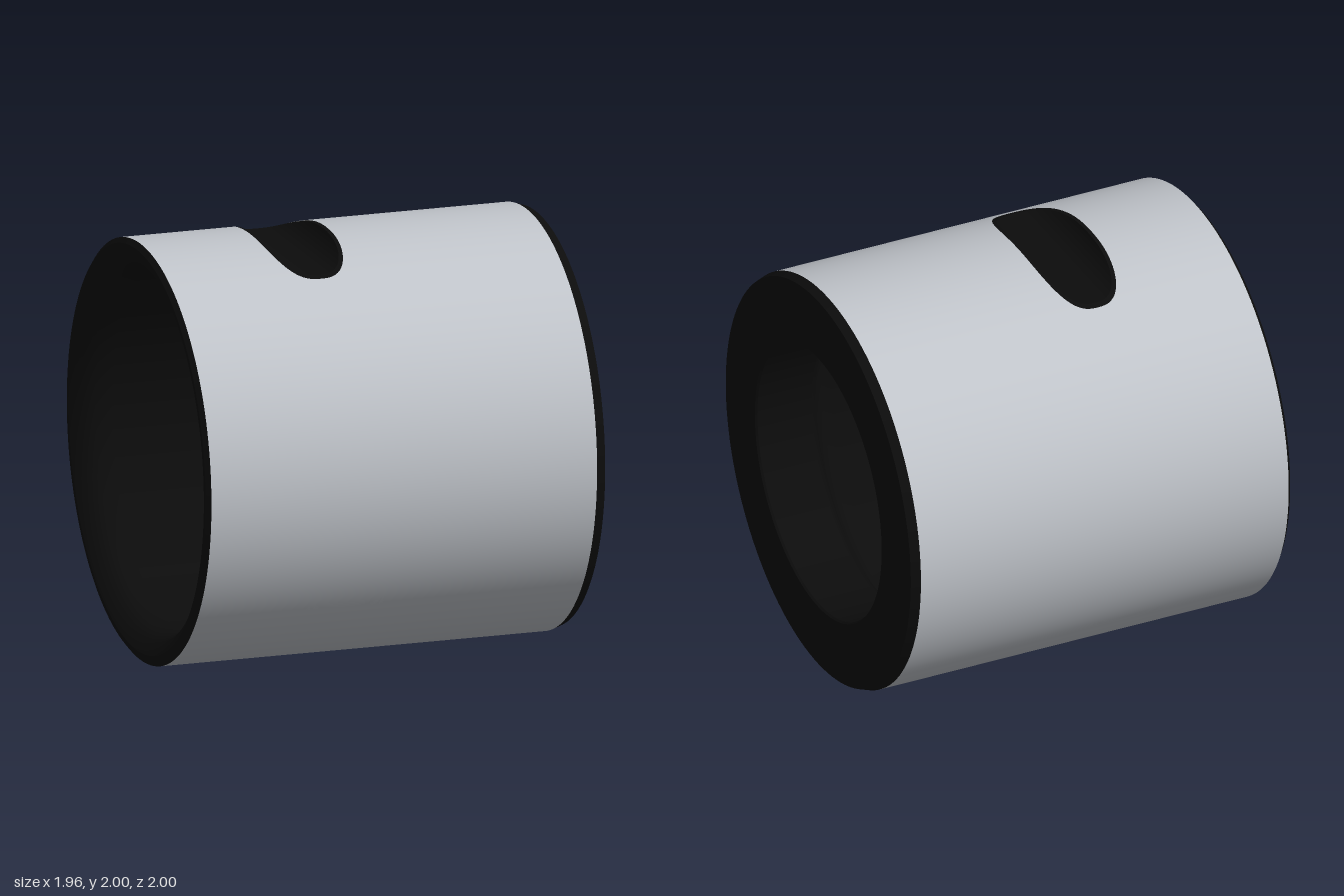
import * as THREE from 'three';

const SLOT_X = -0.235;
const AROUND = 128;

// The slot seen from above is a blunt oval: half its width along x, half its length along z.
const skinSlot = { width: 0.187, length: 0.465 };
const bodySlot = { width: 0.17, length: 0.437 };
const BLUNT = 2.7;

// Half the slot's length at distance dx from its middle.
const slotReach = ({ width, length }, dx) =>
  length * Math.max(0, 1 - (Math.abs(dx) / width) ** BLUNT) ** (1 / BLUNT);

// Positions across the slot, closer together near both ends.
const across = (half, n = 48) =>
  Array.from({ length: n + 1 }, (_, i) => -half * Math.cos((Math.PI * i) / n));

// Surface through a grid of points; point(i, j) returns [x, y, z].
function grid(nu, nv, point) {
  const positions = [], index = [];
  for (let i = 0; i <= nu; i++) {
    for (let j = 0; j <= nv; j++) {
      positions.push(...point(i, j));
      if (i === nu || j === nv) continue;
      const a = i * (nv + 1) + j, b = a + nv + 1;
      index.push(a, a + 1, b, b, a + 1, b + 1);
    }
  }
  const geo = new THREE.BufferGeometry();
  geo.setAttribute('position', new THREE.Float32BufferAttribute(positions, 3));
  geo.setIndex(index);
  geo.computeVertexNormals();
  return geo;
}

// Cylinder wall along x, opened by the slot at the top.
function slottedWall(r, x0, x1, slot) {
  const xs = [x0, ...across(slot.width).map((d) => SLOT_X + d), x1];
  const geo = grid(xs.length - 1, AROUND, (i, j) => {
    const start = Math.asin(slotReach(slot, xs[i] - SLOT_X) / r);
    const t = start + (2 * Math.PI - 2 * start) * (j / AROUND);
    return [xs[i], r * Math.cos(t), r * Math.sin(t)];
  });
  // Exact radial normals keep the wall smooth
  const p = geo.attributes.position;
  for (let k = 0; k < p.count; k++) {
    geo.attributes.normal.setXYZ(k, 0, p.getY(k) / r, p.getZ(k) / r);
  }
  return geo;
}

// Closed trough under the slot, straight along z.
function slotFloor(r, slot) {
  const ds = across(slot.width);
  return grid(ds.length - 1, 1, (i, j) => {
    const z = slotReach(slot, ds[i]);
    return [SLOT_X + ds[i], Math.sqrt(r * r - z * z), j ? z : -z];
  });
}

export function createModel() {
  const model = new THREE.Group();
  model.name = 'slottedSleeve';
  const sleeve = new THREE.Group();
  sleeve.name = 'sleeve';
  sleeve.position.y = 1;
  model.add(sleeve);

  const grey = new THREE.MeshStandardMaterial({ color: 0xc0c4ca, side: THREE.DoubleSide });
  const black = new THREE.MeshStandardMaterial({ color: 0x0c0c0c, side: THREE.DoubleSide });
  const add = (name, geo, mat) => {
    const mesh = new THREE.Mesh(geo, mat);
    mesh.name = name;
    sleeve.add(mesh);
    return mesh;
  };

  // Grey outer skin over the dark body, with the slot sunk into both
  const bodyR = 0.997;
  add('outerSkin', slottedWall(1, -0.96, 0.935, skinSlot), grey);
  add('bodyWall', slottedWall(bodyR, -0.96, 0.935, bodySlot), black);
  add('slotFloor', slotFloor(bodyR, bodySlot), black);

  // Parts turned about x, each through points [radius, x]
  const turned = {
    leftOuterChamfer: [[0.975, -0.98], [1, -0.96]],
    leftEndFace: [[0.95, -0.98], [0.975, -0.98]],
    rightOuterChamfer: [[1, 0.935], [0.985, 0.98]],
    rightEndFace: [[0.985, 0.98], [0.675, 0.98]],
    rightBoreChamfer: [[0.675, 0.98], [0.668, 0.97]],
    lipBore: [[0.668, 0.97], [0.668, 0.69]],
    // Wide bore with a rounded lip at the right and a rounded mouth at the left
    bore: [[0.668, 0.69], [0.69, 0.66], [0.74, 0.64], [0.8, 0.61], [0.84, 0.56], [0.85, 0.5],
      [0.85, -0.8], [0.86, -0.88], [0.89, -0.94], [0.95, -0.98]],
  };
  for (const [name, profile] of Object.entries(turned)) {
    const points = profile.map(([r, x]) => new THREE.Vector2(r, x));
    add(name, new THREE.LatheGeometry(points, AROUND), black).rotation.z = -Math.PI / 2;
  }

  return model;
}
